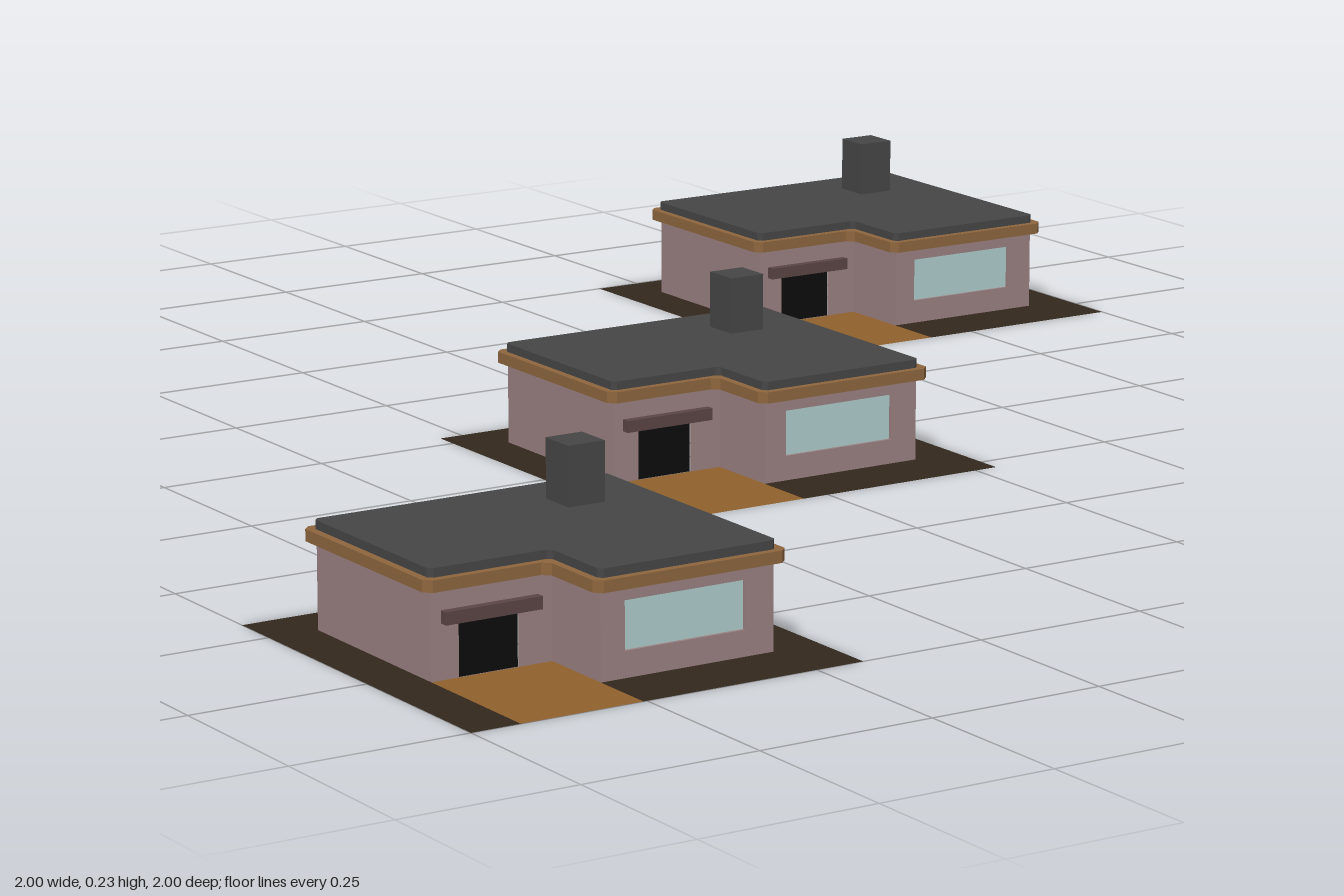
import * as THREE from 'three';

const mat = (color) => new THREE.MeshStandardMaterial({ color, side: THREE.DoubleSide, flatShading: true });

// L-shaped footprint (x, z), grown outwards by d
const footprint = (d) => [
  [-0.215 - d, 0.072 + d], [-0.04 - d, 0.072 + d], [-0.04 - d, 0.187 + d],
  [0.215 + d, 0.187 + d], [0.215 + d, -0.212 - d], [-0.215 - d, -0.212 - d],
].map(([x, z]) => new THREE.Vector2(x, z));

// cut every corner of a closed outline by c
function chamfer(points, c) {
  const n = points.length;
  return points.flatMap((p, i) => [points[(i + n - 1) % n], points[(i + 1) % n]].map((q) =>
    p.clone().add(q.clone().sub(p).setLength(c))));
}

const rect = (x0, x1, y0, y1) => [[x0, y0], [x1, y0], [x1, y1], [x0, y1]].map(([x, y]) => new THREE.Vector2(x, y));

// horizontal slab from a plan shape, between two heights
function slab(shape, y0, y1) {
  const g = new THREE.ExtrudeGeometry(shape, { depth: y1 - y0, bevelEnabled: false });
  return g.rotateX(Math.PI / 2).translate(0, y1, 0);
}

const flat = (shape) => new THREE.ShapeGeometry(shape).rotateX(Math.PI / 2);

function createHouse() {
  const house = new THREE.Group();
  const wallMat = mat(0x9b8282), roofMat = mat(0x464646), trimMat = mat(0x8e663e);
  const add = (name, geometry, material) => {
    const mesh = new THREE.Mesh(geometry, material);
    mesh.name = name;
    house.add(mesh);
    return mesh;
  };
  const box = (name, x0, x1, y0, y1, z0, z1, material) =>
    add(name, new THREE.BoxGeometry(x1 - x0, y1 - y0, z1 - z0)
      .translate((x0 + x1) / 2, (y0 + y1) / 2, (z0 + z1) / 2), material);

  // plot around the house and driveway, open under the house
  const plot = [
    [-0.285, 0.285], [-0.215, 0.285], [-0.215, -0.212], [0.215, -0.212], [0.215, 0.187],
    [-0.04, 0.187], [-0.04, 0.285], [0.285, 0.285], [0.285, -0.285], [-0.285, -0.285],
  ].map(([x, z]) => new THREE.Vector2(x, z));
  add('plot', flat(new THREE.Shape(plot)), mat(0x33271d));
  add('driveway', flat(new THREE.Shape(rect(-0.215, -0.04, 0.072, 0.285))), mat(0x8f602c));

  // walls, one per footprint edge, with openings in the two front ones
  const openings = { 0: rect(0.04, 0.126, 0.0005, 0.075), 2: rect(0.035, 0.213, 0.035, 0.1) };
  const corners = footprint(0);
  corners.forEach((a, i) => {
    const b = corners[(i + 1) % corners.length];
    const shape = new THREE.Shape(rect(0, a.distanceTo(b), 0, 0.13));
    if (openings[i]) shape.holes.push(new THREE.Path(openings[i]));
    const wall = add('wall', new THREE.ShapeGeometry(shape), wallMat);
    wall.position.set(a.x, 0, a.y);
    wall.rotation.y = -Math.atan2(b.y - a.y, b.x - a.x);
  });

  // window with its recessed frame
  const frame = new THREE.Shape(rect(-0.009, 0.177, 0.031, 0.104));
  frame.holes.push(new THREE.Path(rect(-0.005, 0.173, 0.035, 0.1)));
  add('windowFrame', new THREE.ExtrudeGeometry(frame, { depth: 0.008, bevelEnabled: false })
    .translate(0, 0, 0.1785), wallMat);
  box('windowPane', -0.005, 0.173, 0.035, 0.1, 0.179, 0.182, mat(0xb0cece));

  // garage door and the lintel over it
  box('garageDoor', -0.175, -0.089, 0, 0.075, 0.066, 0.07, mat(0x0c0c0c));
  box('doorLintel', -0.2, -0.06, 0.073, 0.09, 0.072, 0.084, mat(0x5c4545));

  // roof slab, eaves trim and chimney
  add('roof', slab(new THREE.Shape(chamfer(footprint(0.003), 0.006)), 0.128, 0.146), roofMat);
  const eaves = new THREE.Shape(chamfer(footprint(0.014), 0.01));
  eaves.holes.push(new THREE.Path(footprint(-0.001)));
  add('eavesTrim', slab(eaves, 0.118, 0.134), trimMat);
  box('chimney', 0.083, 0.138, 0.14, 0.227, -0.142, -0.087, roofMat);
  return house;
}

export function createModel() {
  const model = new THREE.Group();
  model.name = 'houseRow';
  // three equal houses in a diagonal row
  for (const k of [-1, 0, 1]) {
    const house = createHouse();
    house.name = 'house';
    house.position.set(0.715 * k, 0, -0.715 * k);
    model.add(house);
  }
  return model;
}
